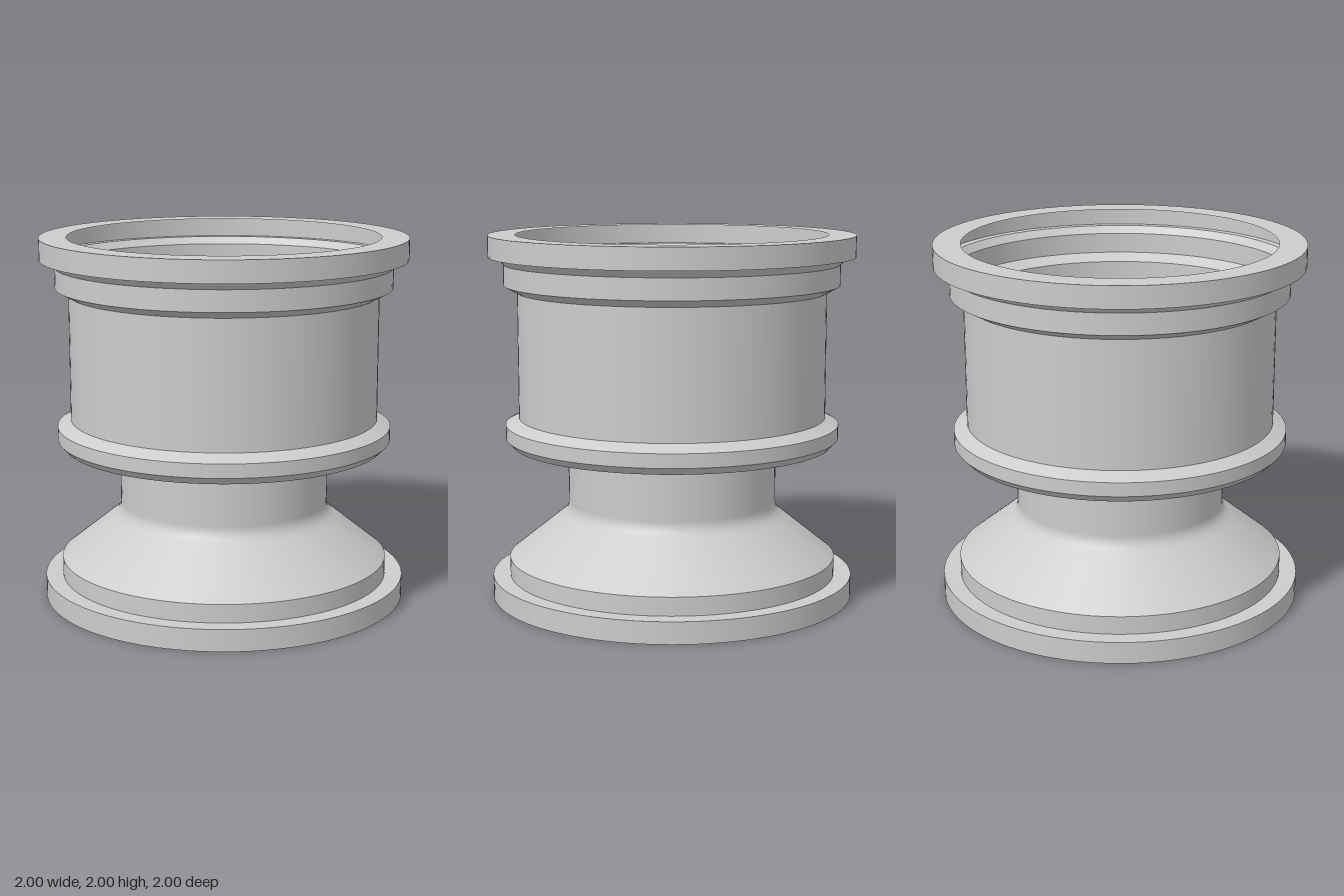
import * as THREE from 'three';

// Thin turned shell: each band is its own lathe so the edges between bands stay crisp.
export function createModel() {
  const model = new THREE.Group();
  model.name = 'wheelRim';
  const metal = new THREE.MeshStandardMaterial({ color: 0xcccccc, side: THREE.DoubleSide });
  metal.name = 'light grey metal';

  // Part name and its [radius, height] profile, from the foot upward.
  // Neighbouring pairs are sharp bands; smooth parts are shaded as one curve.
  const parts = [
    { name: 'lowerFlange', profile: [[1, 0], [1, 0.12], [0.905, 0.12], [0.905, 0.22]] },
    {
      name: 'flaredThroat', smooth: true,
      profile: [[0.905, 0.22], [0.61, 0.457], [0.593, 0.474], [0.581, 0.493], [0.575, 0.515], [0.575, 0.8]],
    },
    { name: 'throatCollar', profile: [[0.575, 0.8], [0.63, 0.85]] },
    { name: 'drumFloor', profile: [[0.63, 0.85], [0.88, 0.85]] },
    { name: 'drumBead', profile: [[0.88, 0.85], [0.918, 0.89], [0.918, 0.965], [0.845, 1.003]] },
    { name: 'drumWall', profile: [[0.845, 1.003], [0.845, 1.69]] },
    { name: 'upperStep', profile: [[0.845, 1.69], [0.918, 1.73], [0.918, 1.843], [0.955, 1.883]] },
    { name: 'upperFlange', profile: [[0.955, 1.883], [1, 1.883], [1, 2], [0.85, 2]] },
  ];

  const addBand = (group, points) => {
    const profile = points.map(([r, y]) => new THREE.Vector2(r, y));
    const band = new THREE.Mesh(new THREE.LatheGeometry(profile, 96), metal);
    band.name = group.name + 'Band';
    group.add(band);
  };

  for (const { name, profile, smooth } of parts) {
    const group = new THREE.Group();
    group.name = name;
    if (smooth) {
      // Split the straight runs from the fillet's end normals by adding close guide points.
      const [a, b] = profile;
      const nearFillet = [a[0] + (b[0] - a[0]) * 0.95, a[1] + (b[1] - a[1]) * 0.95];
      const last = profile.length - 1;
      addBand(group, [a, nearFillet, ...profile.slice(1, last), [0.575, 0.53], profile[last]]);
    } else {
      for (let i = 0; i < profile.length - 1; i++) addBand(group, [profile[i], profile[i + 1]]);
    }
    model.add(group);
  }
  return model;
}
